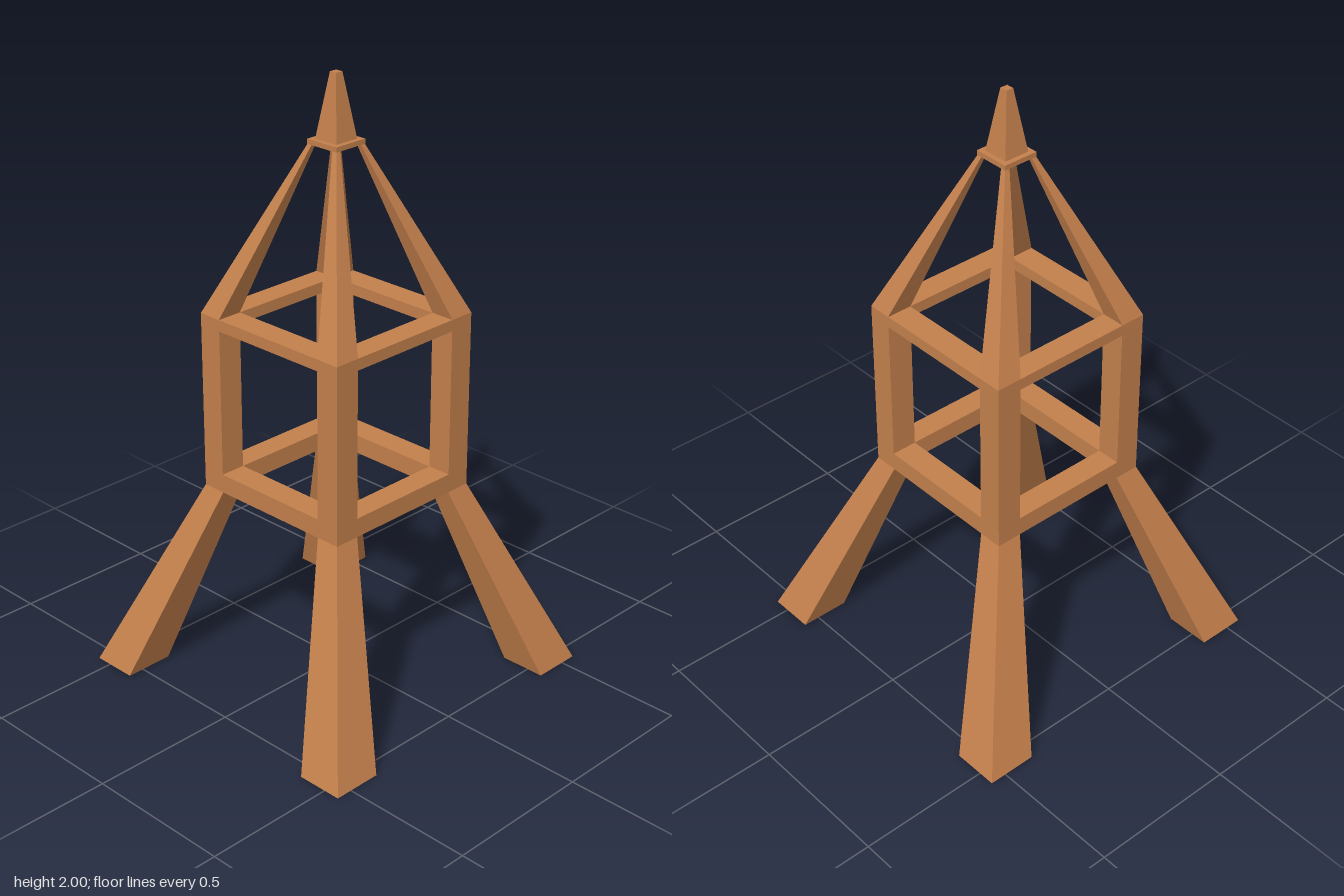
import * as THREE from 'three';

// Solid lofted through axis-aligned rectangles: [y, xMin, xMax, zMin, zMax], bottom to top
function loft(sections) {
  const pos = [];
  const rings = sections.map(([y, x0, x1, z0, z1]) => [[x0, y, z1], [x1, y, z1], [x1, y, z0], [x0, y, z0]]);
  const quad = (a, b, c, d) => pos.push(...a, ...b, ...c, ...a, ...c, ...d);
  for (let i = 0; i < rings.length - 1; i++) {
    const lo = rings[i], hi = rings[i + 1];
    for (let k = 0; k < 4; k++) {
      const n = (k + 1) % 4;
      quad(lo[k], lo[n], hi[n], hi[k]);
    }
  }
  const b = rings[0], t = rings[rings.length - 1];
  quad(b[3], b[2], b[1], b[0]);
  quad(t[0], t[1], t[2], t[3]);
  const geo = new THREE.BufferGeometry();
  geo.setAttribute('position', new THREE.Float32BufferAttribute(pos, 3));
  geo.computeVertexNormals();
  return geo;
}

export function createModel() {
  const model = new THREE.Group();
  model.name = 'woodenTower';
  const wood = new THREE.MeshStandardMaterial({ color: 0xc4804c, flatShading: true });
  wood.name = 'warm wood';

  const add = (name, geo, x = 0, y = 0, z = 0) => {
    const mesh = new THREE.Mesh(geo, wood);
    mesh.name = name;
    mesh.position.set(x, y, z);
    model.add(mesh);
  };

  // Corner profile: [y, inner x, inner z, outer edge]
  const foot = [0, 0.39, 0.4, 0.556];
  const postBase = [0.647, 0.207, 0.212, 0.294];
  const postTop = [1.238, 0.207, 0.212, 0.294];
  const rafterTop = [1.782, 0.042, 0.042, 0.059];
  const span = (s, a, b) => (s > 0 ? [a, b] : [-b, -a]);

  // Splayed legs, upright posts and converging rafters on all four corners
  for (const sx of [-1, 1]) for (const sz of [-1, 1]) {
    const section = ([y, ix, iz, out]) => [y, ...span(sx, ix, out), ...span(sz, iz, out)];
    const corner = `${sz > 0 ? 'front' : 'back'}${sx > 0 ? 'Left' : 'Right'}`;
    add(`${corner}Beam`, loft([foot, postBase, postTop, rafterTop].map(section)));
  }

  // Square frames of rails tying the posts together
  for (const [level, y0, y1] of [['lower', 0.647, 0.71], ['upper', 1.2, 1.238]]) {
    const h = y1 - y0, y = (y0 + y1) / 2;
    for (const s of [-1, 1]) {
      add(`${level}${s > 0 ? 'Front' : 'Back'}Rail`, new THREE.BoxGeometry(0.414, h, 0.082), 0, y, s * 0.253);
      add(`${level}${s > 0 ? 'Left' : 'Right'}Rail`, new THREE.BoxGeometry(0.087, h, 0.424), s * 0.2505, y, 0);
    }
  }

  // Collar plate and tapered finial
  add('collar', new THREE.BoxGeometry(0.122, 0.016, 0.122), 0, 1.787, 0);
  add('finial', loft([[1.795, -0.044, 0.044, -0.044, 0.044], [2, -0.013, 0.013, -0.013, 0.013]]));

  return model;
}
